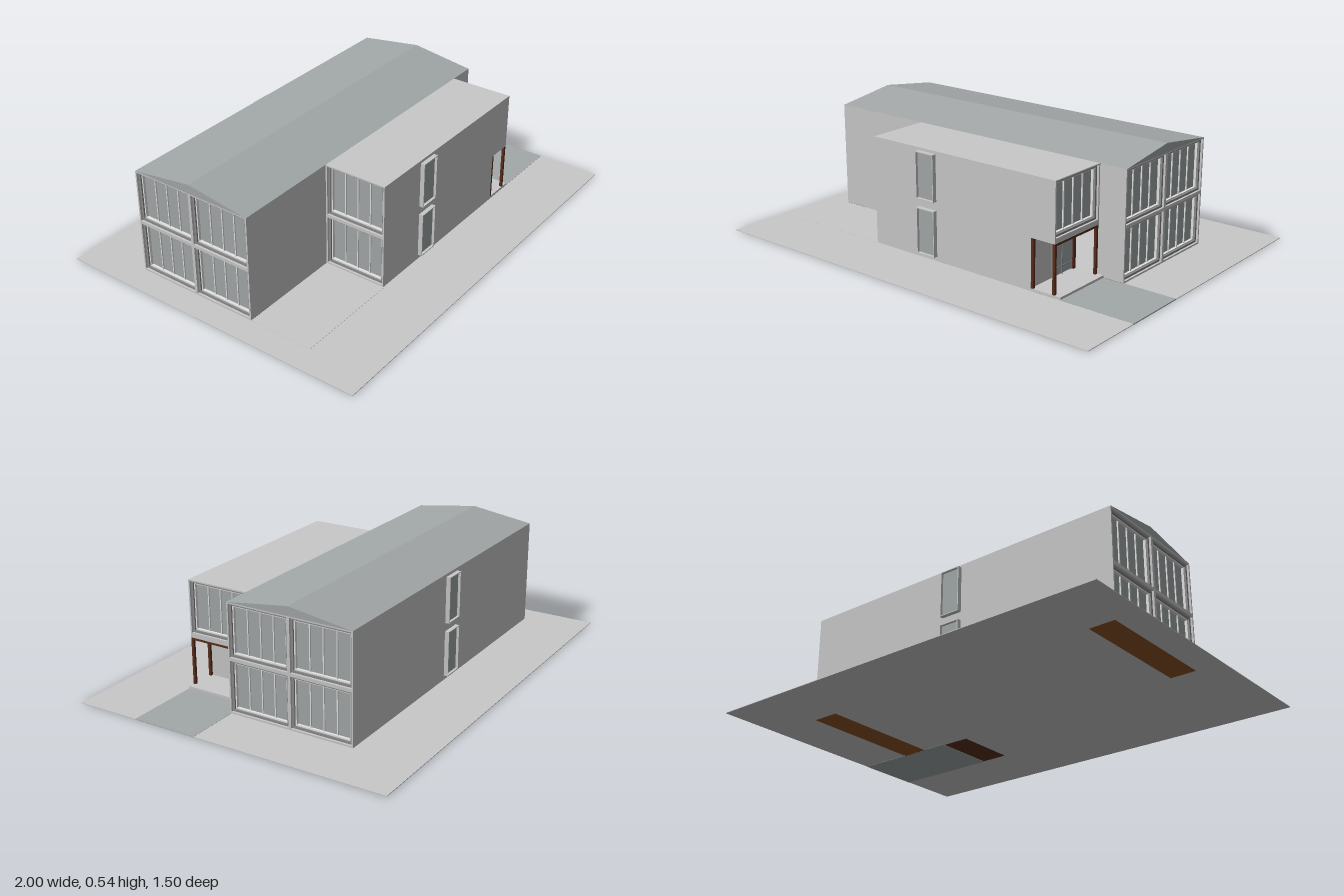
import * as THREE from 'three';

const mat = (name, color, extra = {}) => Object.assign(new THREE.MeshStandardMaterial({ color, ...extra }), { name });

export function createModel() {
  const wall = mat('light grey wall', 0xc9c9c9);
  const slate = mat('blue grey roof and glass', 0xa3a8a8);
  const white = mat('off white trim', 0xe4e4e4);
  const frameGrey = mat('grey window frame', 0x8c8c8c);
  const wood = mat('brown deck', 0x8b5426);
  const darkWood = mat('dark brown timber', 0x5a2e1c);

  const root = new THREE.Group();
  root.name = 'house';

  // Box given by its limits on each axis
  const box = (name, m, x0, x1, y0, y1, z0, z1, parent = root) => {
    const mesh = new THREE.Mesh(new THREE.BoxGeometry(x1 - x0, y1 - y0, z1 - z0), m);
    mesh.position.set((x0 + x1) / 2, (y0 + y1) / 2, (z0 + z1) / 2);
    mesh.name = name;
    parent.add(mesh);
    return mesh;
  };

  // Counter-clockwise rectangle, used for outlines and holes
  const rect = (Type, x0, x1, y0, y1) => {
    const s = new Type();
    s.moveTo(x0, y0).lineTo(x1, y0).lineTo(x1, y1).lineTo(x0, y1).closePath();
    return s;
  };

  // Rectangular ring facing local +z
  const ring = (name, m, x0, x1, y0, y1, t, z0, depth, parent) => {
    const s = rect(THREE.Shape, x0, x1, y0, y1);
    s.holes.push(rect(THREE.Path, x0 + t, x1 - t, y0 + t, y1 - t));
    const mesh = new THREE.Mesh(new THREE.ExtrudeGeometry(s, { depth, bevelEnabled: false }), m);
    mesh.position.z = z0;
    mesh.name = name;
    parent.add(mesh);
  };

  // Ground, drive and terrace
  box('ground', wall, -1, 1, 0.001, 0.004, -0.75, 0.75);
  box('drive', slate, 0.5, 1, 0, 0.005, 0.145, 0.45);
  box('terrace', wall, -0.88, -0.37, 0.003, 0.005, 0.15, 0.455);
  box('eastDeck', wood, 0.62, 0.745, 0, 0.006, -0.445, 0.15);
  box('westDeck', wood, -0.875, -0.755, 0, 0.006, -0.445, 0.15);
  box('hallFloor', darkWood, 0.365, 0.495, 0, 0.006, 0.155, 0.445);

  // Main block and front wing
  const D = 0.035;
  box('mainBody', wall, -0.88 + D, 0.75 - D, 0.004, 0.5, -0.45, 0.15);
  box('wingLower', wall, -0.375 + D, 0.5, 0.004, 0.235, 0.15, 0.45);
  box('wingUpper', wall, -0.375 + D, 0.62 - D, 0.235, 0.5, 0.15, 0.45);

  // Low gable roof
  const gable = new THREE.Shape();
  gable.moveTo(-0.3, 0.5).lineTo(0.3, 0.5).lineTo(0, 0.542).closePath();
  const roof = new THREE.Mesh(new THREE.ExtrudeGeometry(gable, { depth: 1.63, bevelEnabled: false }), slate);
  roof.rotation.y = Math.PI / 2;
  roof.position.set(-0.88, 0, -0.15);
  roof.name = 'gableRoof';
  root.add(roof);

  // Glazed end wall: one opening per bay and storey
  const ROWS = [[0.012, 0.243], [0.258, 0.494]];
  const endWall = (name, faceX, dir, zc, bays, rows, y0) => {
    const g = new THREE.Group();
    g.name = name;
    g.rotation.y = dir * Math.PI / 2;
    g.position.set(faceX - dir * D, 0, zc);
    root.add(g);
    const half = bays * 0.15;
    const s = rect(THREE.Shape, -half, half, y0, 0.5);
    for (let b = 0; b < bays; b++) {
      for (const [b0, b1] of rows) {
        const u0 = -half + b * 0.3 + 0.007, u1 = u0 + 0.286;
        s.holes.push(rect(THREE.Path, u0, u1, b0, b1));
        ring('windowFrame', frameGrey, u0, u1, b0, b1, 0.01, 0, 0.025, g);
        ring('windowTrim', white, u0 + 0.01, u1 - 0.01, b0 + 0.01, b1 - 0.01, 0.006, 0, 0.018, g);
        box('windowGlass', slate, u0 + 0.01, u1 - 0.01, b0 + 0.01, b1 - 0.01, 0, 0.006, g);
        for (let i = 1; i < 4; i++) {
          const u = u0 + 0.016 + i * 0.0635;
          box('windowMullion', white, u - 0.0025, u + 0.0025, b0 + 0.016, b1 - 0.016, 0.004, 0.012, g);
        }
      }
    }
    const mesh = new THREE.Mesh(new THREE.ExtrudeGeometry(s, { depth: D, bevelEnabled: false }), wall);
    mesh.name = 'endWallGrid';
    g.add(mesh);
  };
  endWall('mainEastEnd', 0.75, 1, -0.15, 2, ROWS, 0.004);
  endWall('mainWestEnd', -0.88, -1, -0.15, 2, ROWS, 0.004);
  endWall('wingEastEnd', 0.62, 1, 0.3, 1, [ROWS[1]], 0.235);
  endWall('wingWestEnd', -0.375, -1, 0.3, 1, ROWS, 0.004);

  // Projecting box windows on both long sides
  for (const side of [1, -1]) {
    const g = new THREE.Group();
    g.name = side > 0 ? 'frontBoxWindows' : 'backBoxWindows';
    g.position.set(-0.0625, 0, side * 0.45);
    if (side < 0) g.rotation.y = Math.PI;
    root.add(g);
    for (const [y0, y1] of [[0.025, 0.235], [0.275, 0.487]]) {
      ring('boxWindowFrame', wall, -0.05, 0.05, y0, y1, 0.004, 0, 0.02, g);
      box('boxWindowGlass', slate, -0.046, 0.046, y0 + 0.004, y1 - 0.004, 0, 0.008, g);
    }
  }

  // Open corner porch with timber posts and beams
  box('porchStep', wall, 0.5, 0.65, 0.004, 0.016, 0.15, 0.45);
  box('porchSideWall', white, 0.5, 0.615, 0.016, 0.235, 0.15, 0.153);
  for (const [x, z] of [[0.5, 0.437], [0.608, 0.437], [0.608, 0.153]])
    box('porchPost', darkWood, x, x + 0.012, 0.016, 0.235, z, z + 0.012);
  box('porchBeamSide', darkWood, 0.608, 0.62, 0.225, 0.236, 0.153, 0.449);
  box('porchBeamBack', darkWood, 0.5, 0.51, 0.225, 0.235, 0.153, 0.449);

  // Entrance door in the porch back wall
  box('doorGlass', slate, 0.5, 0.504, 0.02, 0.225, 0.17, 0.31);
  box('doorJamb', darkWood, 0.5, 0.51, 0.016, 0.225, 0.155, 0.172);
  for (const z of [0.245, 0.31])
    box('doorStile', frameGrey, 0.5, 0.507, 0.016, 0.225, z - 0.002, z + 0.002);
  box('doorKickRail', frameGrey, 0.5, 0.507, 0.05, 0.054, 0.18, 0.31);

  return root;
}
